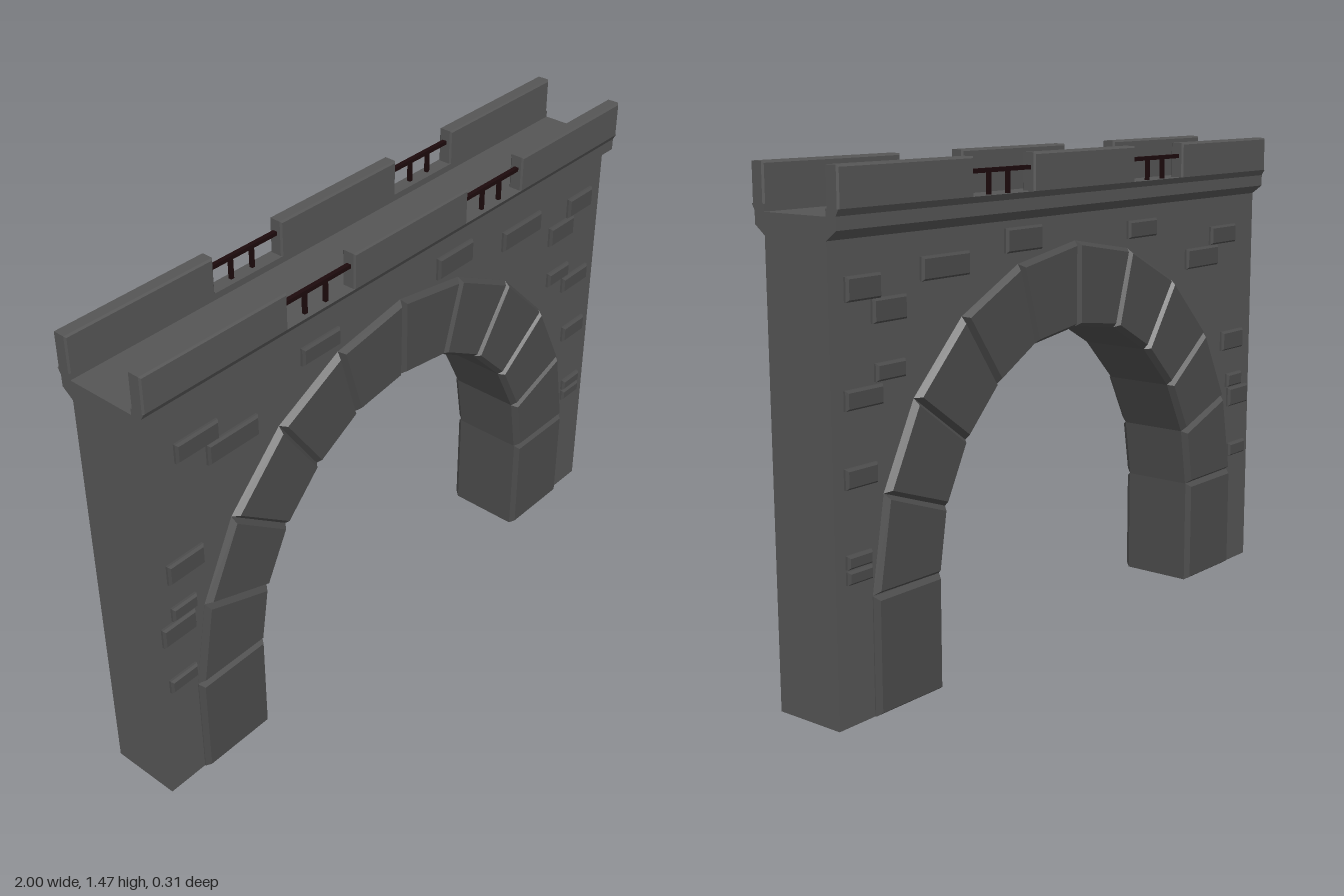
import * as THREE from 'three';

const wallMat = new THREE.MeshStandardMaterial({ color: 0x555555 });
const stoneMat = new THREE.MeshStandardMaterial({ color: 0x4b4b4b });
const railMat = new THREE.MeshStandardMaterial({ color: 0x1c0a0c });

const shapeOf = (pts) => new THREE.Shape(pts.map(([x, y]) => new THREE.Vector2(x, y)));
const rect = (x0, x1, y0, y1) => [[x0, y0], [x1, y0], [x1, y1], [x0, y1]];

// Chamfered block: outline in x/y, spanning z0..z1
function block(name, pts, z0, z1, size, thick, mat) {
  const geo = new THREE.ExtrudeGeometry(shapeOf(pts), {
    depth: z1 - z0 - 2 * thick, bevelEnabled: true, bevelSegments: 1,
    bevelSize: size, bevelOffset: -size, bevelThickness: thick,
  });
  geo.translate(0, 0, z0 + thick);
  const mesh = new THREE.Mesh(geo, mat);
  mesh.name = name;
  return mesh;
}

function box(name, w, h, d, x, y, z, mat) {
  const mesh = new THREE.Mesh(new THREE.BoxGeometry(w, h, d), mat);
  mesh.name = name;
  mesh.position.set(x, y, z);
  return mesh;
}

export function createModel() {
  const model = new THREE.Group();
  model.name = 'archBridge';

  // Arch outlines, from the left springing to the right
  const mirror = (half) => [...half, ...half.slice(0, -1).reverse().map(([x, y]) => [-x, y])];
  const inner = mirror([[-0.612, 0.335], [-0.582, 0.52], [-0.495, 0.69], [-0.36, 0.826], [-0.195, 0.917], [0, 0.944]]);
  const outer = mirror([[-0.868, 0.338], [-0.82, 0.605], [-0.7, 0.84], [-0.505, 1.035], [-0.265, 1.155], [0, 1.2]]);

  // Wall with the opening hidden behind the arch stones
  const mid = inner.map(([x, y], i) => [(x + outer[i][0]) / 2, (y + outer[i][1]) / 2]);
  const wallShape = shapeOf([
    [-1, 0], [-0.74, 0], ...mid, [0.74, 0], [1, 0], [1, 1.3], [-1, 1.3],
  ]);
  const wallGeo = new THREE.ExtrudeGeometry(wallShape, { depth: 0.222, bevelEnabled: false });
  wallGeo.translate(0, 0, -0.111);
  const wall = new THREE.Mesh(wallGeo, wallMat);
  wall.name = 'wall';
  model.add(wall);

  // Arch stones and the two footing blocks
  const arch = new THREE.Group();
  arch.name = 'archStones';
  for (let i = 0; i < inner.length - 1; i++) {
    const pts = [inner[i], inner[i + 1], outer[i + 1], outer[i]];
    arch.add(block('archStone', pts, -0.13, 0.13, 0.013, 0.018, stoneMat));
  }
  for (const s of [-1, 1]) {
    const pts = rect(Math.min(s * 0.612, s * 0.868), Math.max(s * 0.612, s * 0.868), 0, 0.335);
    arch.add(block('footingStone', pts, -0.13, 0.13, 0.011, 0.016, stoneMat));
  }
  model.add(arch);

  // Cornice and deck: one trough section run along x
  const side = [[0.111, 1.28], [0.146, 1.307], [0.146, 1.342], [0.156, 1.36], [0.111, 1.36], [0.111, 1.34]];
  const section = [...side, ...side.map(([z, y]) => [-z, y]).reverse()];
  const deckGeo = new THREE.ExtrudeGeometry(shapeOf(section), { depth: 2, bevelEnabled: false });
  deckGeo.translate(0, 0, -1);
  deckGeo.rotateY(Math.PI / 2);
  const deck = new THREE.Mesh(deckGeo, wallMat);
  deck.name = 'corniceAndDeck';
  model.add(deck);

  // Protruding bricks: centre x, centre y, width, height
  const bricks = [
    [-0.805, 1.155, 0.15, 0.06], [-0.68, 1.09, 0.185, 0.065], [-0.337, 1.21, 0.15, 0.055],
    [0.243, 1.225, 0.16, 0.07], [0.573, 1.18, 0.19, 0.065], [0.883, 1.155, 0.125, 0.065],
    [0.79, 1.09, 0.125, 0.065], [0.79, 0.93, 0.11, 0.048], [0.888, 0.873, 0.135, 0.053],
    [0.904, 0.67, 0.115, 0.055], [0.918, 0.45, 0.09, 0.037], [0.918, 0.408, 0.09, 0.037],
    [-0.877, 0.79, 0.13, 0.065], [-0.895, 0.65, 0.09, 0.045], [-0.92, 0.59, 0.12, 0.064],
    [-0.92, 0.403, 0.1, 0.045],
  ];

  for (const s of [1, -1]) {
    const span = (a, b) => (s > 0 ? [a, b] : [-b, -a]);
    const face = new THREE.Group();
    face.name = s > 0 ? 'frontDetails' : 'backDetails';

    const [b0, b1] = span(0.1, 0.125);
    for (const [x, y, w, h] of bricks) {
      const pts = rect(x - w / 2, x + w / 2, y - h / 2, y + h / 2);
      face.add(block('brick', pts, b0, b1, 0.006, 0.007, stoneMat));
    }

    // Parapet sections
    const [p0, p1] = span(0.111, 0.156);
    for (const [x0, x1] of [[-1, -0.498], [-0.242, 0.242], [0.498, 1]]) {
      face.add(block('parapet', rect(x0, x1, 1.355, 1.467), p0, p1, 0.005, 0.005, wallMat));
    }

    // Railings in the gaps
    for (const g of [-1, 1]) {
      face.add(box('handrail', 0.27, 0.012, 0.014, g * 0.37, 1.426, s * 0.135, railMat));
      for (const d of [-0.04, 0.04]) {
        face.add(box('railPost', 0.011, 0.07, 0.011, g * 0.375 + d, 1.39, s * 0.135, railMat));
      }
    }
    model.add(face);
  }
  return model;
}
